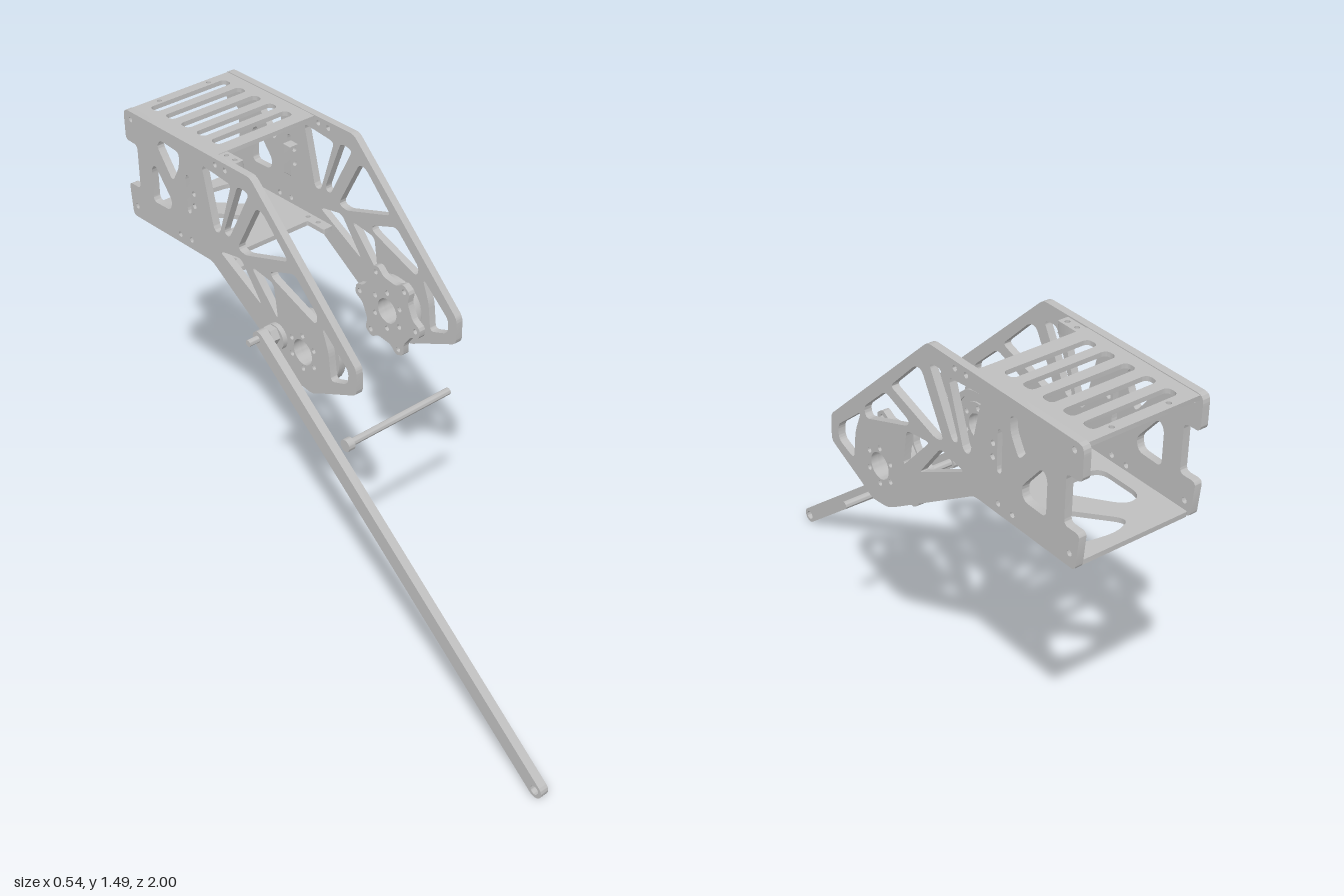
import * as THREE from 'three';
import { toCreasedNormals } from 'three/addons/utils/BufferGeometryUtils.js';

const metal = new THREE.MeshStandardMaterial({ color: 0xbebebe });
metal.name = 'light grey metal';

// Closed path through points with rounded corners
function rounded(points, r, path = new THREE.Path()) {
  const p = points.map(([a, b]) => new THREE.Vector2(a, b));
  p.forEach((c, i) => {
    const prev = p[(i + p.length - 1) % p.length], next = p[(i + 1) % p.length];
    const toward = (q) => {
      const d = q.clone().sub(c), l = d.length();
      return c.clone().addScaledVector(d, Math.min(r, l * 0.45) / l);
    };
    const a = toward(prev), b = toward(next);
    if (i === 0) path.moveTo(a.x, a.y); else path.lineTo(a.x, a.y);
    path.quadraticCurveTo(c.x, c.y, b.x, b.y);
  });
  path.closePath();
  return path;
}
const circle = (x, y, r, path = new THREE.Path()) => path.absarc(x, y, r, 0, Math.PI * 2);
const flip = (pts) => pts.map(([a, b]) => [-a, b]);
const rect = (a0, a1, b0, b1) => [[a0, b0], [a1, b0], [a1, b1], [a0, b1]];

function part(name, geo) {
  const mesh = new THREE.Mesh(toCreasedNormals(geo, 0.6), metal);
  mesh.name = name;
  return mesh;
}
// Counter-clockwise shape in (-z, y), extruded from x0 to x1
function sidePart(name, shape, holes, x0, x1) {
  shape.holes = holes;
  const geo = new THREE.ExtrudeGeometry(shape, { depth: x1 - x0, bevelEnabled: false, curveSegments: 16 });
  return part(name, geo.rotateY(Math.PI / 2).translate(x0, 0, 0));
}
// Shape in (x, -z), extruded up from y0 and falling slightly to the back; y0 is taken at z = 0
const SLOPE = 0.023;
function flatPart(name, shape, holes, y0, height) {
  shape.holes = holes;
  const geo = new THREE.ExtrudeGeometry(shape, { depth: height, bevelEnabled: false, curveSegments: 8 });
  return part(name, geo.rotateX(-Math.PI / 2 - SLOPE).translate(0, y0, 0));
}
function rodX(name, r, x0, x1, y, z, sides = 24) {
  const geo = new THREE.CylinderGeometry(r, r, x1 - x0, sides);
  return part(name, geo.rotateZ(Math.PI / 2).translate((x0 + x1) / 2, y, z));
}

const AXLE = { z: -0.14, y: 0.985 };
const aroundAxle = (angle, r) => [-AXLE.z + Math.cos(angle) * r, AXLE.y + Math.sin(angle) * r];

// Ring of small holes around the axle
const screwRing = (radius, r, n, start = Math.PI / 6) => Array.from({ length: n }, (_, i) =>
  circle(...aroundAxle(start + i * Math.PI * 2 / n, radius), r));

// Side plate outline and lightening cutouts, as (z, y)
const outline = [
  [0.105, 1.045], [-0.365, 1.488], [-0.99, 1.474], [-1.0, 1.46], [-1.0, 1.366], [-0.94, 1.366],
  [-0.94, 1.211], [-1.0, 1.211], [-0.99, 1.095], [-0.575, 1.108], [-0.22, 0.885],
  [-0.175, 0.86], [-0.1, 0.853], [-0.05, 0.88], [0.105, 0.955],
];
const cutouts = [
  [[0.07, 1.025], [-0.05, 1.125], [-0.02, 1.045], [-0.01, 0.945], [0.067, 0.975]],
  [[-0.065, 1.15], [-0.17, 1.248], [-0.283, 1.205], [-0.276, 1.185], [-0.075, 1.115]],
  [[-0.195, 1.278], [-0.31, 1.393], [-0.34, 1.395], [-0.44, 1.216], [-0.404, 1.206]],
  [[-0.372, 1.43], [-0.426, 1.435], [-0.506, 1.243], [-0.479, 1.233]],
  [[-0.458, 1.425], [-0.602, 1.435], [-0.554, 1.227], [-0.527, 1.227]],
  [[-0.27, 1.168], [-0.377, 1.18], [-0.254, 1.045]],
  [[-0.426, 1.185], [-0.533, 1.163], [-0.33, 1.06]],
  [[-0.715, 1.43], [-0.81, 1.435], [-0.832, 1.41], [-0.757, 1.313], [-0.72, 1.377]],
  [[-0.848, 1.334], [-0.87, 1.313], [-0.87, 1.195], [-0.78, 1.2], [-0.768, 1.238]],
  rect(-0.688, -0.668, 1.233, 1.367),
];
const boltHoles = [
  [-0.485, 1.463], [-0.533, 1.463], [-0.965, 1.447], [-0.965, 1.137],
  [-0.677, 1.137], [-0.736, 1.132], [-0.65, 1.313], [-0.65, 1.27],
];

function sidePlate(name, x0, x1) {
  const holes = [
    ...cutouts.map((c) => rounded(flip(c), 0.02)),
    ...boltHoles.map(([z, y]) => circle(-z, y, 0.009)),
    circle(-AXLE.z, AXLE.y, 0.043), ...screwRing(0.059, 0.009, 6),
  ];
  return sidePart(name, rounded(flip(outline).reverse(), 0.018, new THREE.Shape()), holes, x0, x1);
}

function disc(name, r, bore, x0, x1, extra = []) {
  return sidePart(name, circle(-AXLE.z, AXLE.y, r, new THREE.Shape()),
    [circle(-AXLE.z, AXLE.y, bore), ...extra], x0, x1);
}

export function createModel() {
  const g = new THREE.Group();
  g.name = 'armAssembly';

  g.add(sidePlate('rightSidePlate', -0.162, -0.137), sidePlate('leftSidePlate', 0.243, 0.268));

  // Slotted top plate
  const slots = [-0.93, -0.853, -0.773, -0.695, -0.62].map((z) =>
    rounded(rect(-0.097, 0.2, -z - 0.021, -z + 0.021), 0.02));
  for (const x of [-0.045, 0.15]) slots.push(circle(x, 0.968, 0.008));
  g.add(flatPart('topPlate', rounded(rect(-0.137, 0.243, 0.55, 0.988), 0.004, new THREE.Shape()),
    slots, 1.479, 0.015));

  // Bottom plate with two rounded windows and two forward tabs
  const windows = [
    [[-0.09, 0.85], [-0.03, 0.86], [0.09, 0.7], [0.06, 0.68], [-0.09, 0.68]],
    [[0.01, 0.915], [0.08, 0.94], [0.2, 0.92], [0.2, 0.765], [0.14, 0.765]],
  ].map((w) => rounded(w, 0.045));
  for (const x of [-0.118, 0.224]) for (const v of [0.52, 0.57]) windows.push(circle(x, v, 0.008));
  const base = [[-0.137, 0.47], [-0.1, 0.47], [-0.1, 0.55], [0.205, 0.55], [0.205, 0.47], [0.243, 0.47],
    [0.243, 0.98], [-0.137, 0.98]];
  g.add(flatPart('bottomPlate', rounded(base, 0.006, new THREE.Shape()), windows, 1.116, 0.016));

  // Brackets
  g.add(flatPart('upperBracket', rounded(rect(-0.137, -0.1, 0.47, 0.55), 0.006, new THREE.Shape()),
    [0.49, 0.53].map((v) => circle(-0.118, v, 0.008)), 1.454, 0.038));
  const block = rounded(rect(0.21, 0.243, 1.245, 1.35), 0.003, new THREE.Shape());
  block.holes = [1.285, 1.335].map((y) => circle(0.227, y, 0.008));
  g.add(part('sideBracket', new THREE.ExtrudeGeometry(block, { depth: 0.035, bevelEnabled: false })
    .translate(0, 0, -0.668)));

  // Right bearing: stepped discs with screw holes
  g.add(disc('rightBearingHub', 0.095, 0.043, -0.137, -0.118),
    disc('rightBearingFlange', 0.118, 0.043, -0.118, -0.1, screwRing(0.062, 0.009, 6)),
    disc('rightBearingRim', 0.118, 0.1, -0.1, -0.092),
    disc('rightBearingCollar', 0.08, 0.043, -0.1, -0.094, screwRing(0.062, 0.009, 6)));

  // Left bearing: stepped discs and a flange with six screw lobes
  g.add(disc('leftBearingHub', 0.09, 0.043, 0.225, 0.243), disc('leftBearingStep', 0.108, 0.043, 0.203, 0.225));
  const firstLobe = THREE.MathUtils.degToRad(6);
  const lobes = [];
  for (let i = 0; i < 6; i++) {
    for (const [da, r] of [[-0.28, 0.118], [-0.12, 0.15], [0.12, 0.15], [0.28, 0.118]]) {
      lobes.push(aroundAxle(firstLobe + i * Math.PI / 3 + da, r));
    }
  }
  g.add(sidePart('leftBearingFlange', rounded(lobes, 0.012, new THREE.Shape()), [
    circle(-AXLE.z, AXLE.y, 0.043), ...screwRing(0.065, 0.009, 6), ...screwRing(0.13, 0.009, 6, firstLobe),
  ], 0.18, 0.203));

  // Long round-ended lever
  const lo = [-0.973, 0.028], hi = [0.262, 1.002], w = 0.027;
  const ang = Math.atan2(hi[1] - lo[1], hi[0] - lo[0]);
  const bar = new THREE.Shape();
  bar.absarc(...lo, w, ang + Math.PI / 2, ang + Math.PI * 1.5);
  bar.absarc(...hi, w, ang - Math.PI / 2, ang + Math.PI / 2);
  g.add(sidePart('lever', bar, [circle(...lo, 0.016)], -0.235, -0.205));

  // Lever pivot
  g.add(rodX('pivotPin', 0.011, -0.272, -0.16, 1.003, -0.265),
    rodX('pivotNut', 0.032, -0.205, -0.178, 1.0, -0.258, 6),
    rodX('pivotWasher', 0.043, -0.178, -0.162, 0.99, -0.255));

  // Loose cross bolt
  g.add(rodX('crossBoltShaft', 0.012, -0.145, 0.265, 0.743, 0.055),
    rodX('crossBoltHead', 0.021, -0.166, -0.142, 0.743, 0.055));

  return g;
}
